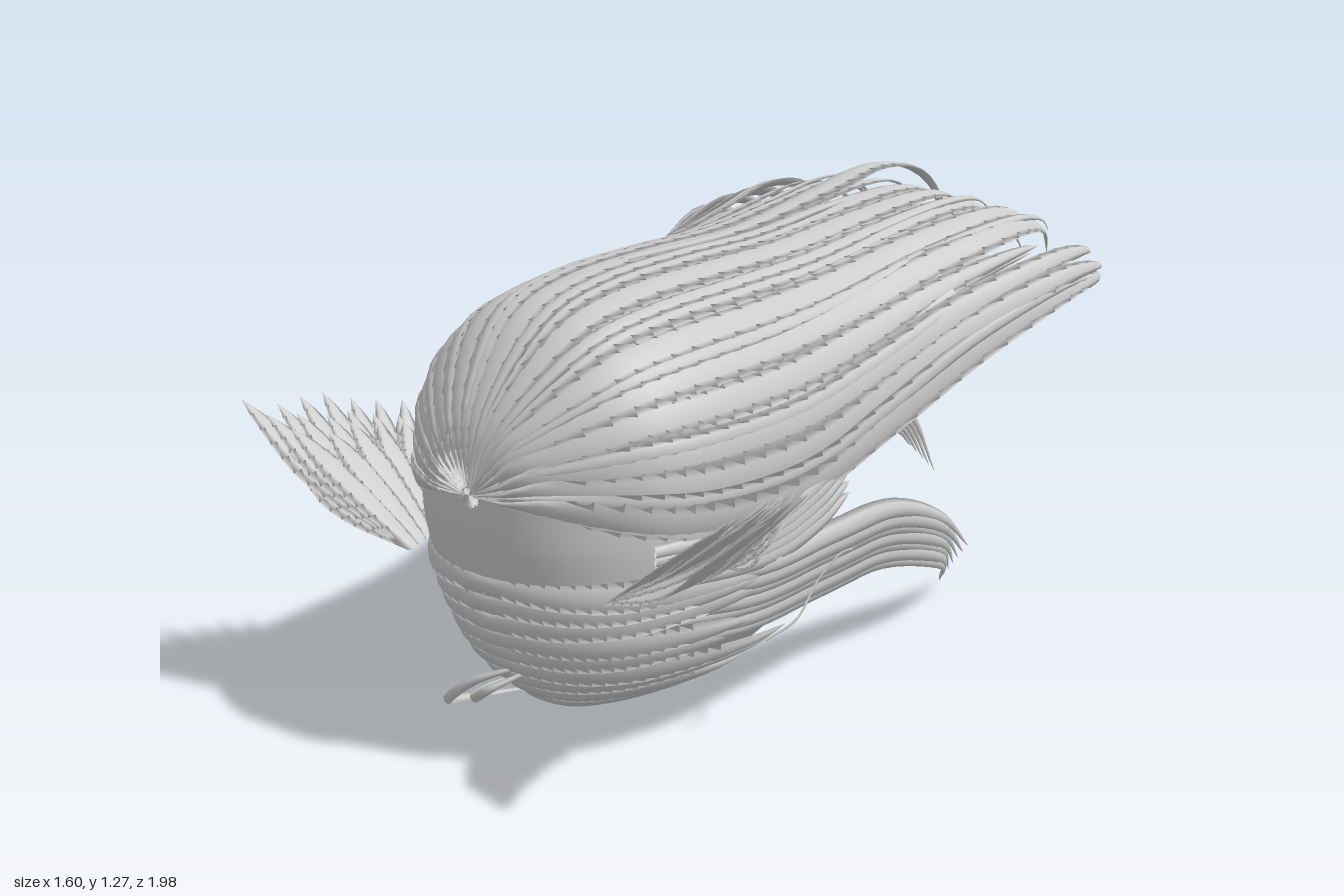
import * as THREE from 'three';

const V = (x, y, z) => new THREE.Vector3(x, y, z);
const material = new THREE.MeshStandardMaterial({ color: 0xcccccc, side: THREE.DoubleSide });
const curveOf = (pts) => new THREE.CatmullRomCurve3(pts, false, 'centripetal');

// Small seeded generator for natural variation
let seed = 7;
const rnd = (a, b) => {
  seed = (seed * 16807) % 2147483647;
  return a + (b - a) * (seed / 2147483647);
};

function gridMesh(name, rows, closed) {
  const n = rows[0].length, pos = [], idx = [];
  rows.forEach((r) => r.forEach((p) => pos.push(p.x, p.y, p.z)));
  for (let i = 0; i < rows.length - 1; i++) {
    for (let j = 0; j < (closed ? n : n - 1); j++) {
      const a = i * n + j, b = i * n + ((j + 1) % n);
      idx.push(a, b, a + n, b, b + n, a + n);
    }
  }
  const g = new THREE.BufferGeometry();
  g.setAttribute('position', new THREE.Float32BufferAttribute(pos, 3));
  g.setIndex(idx);
  g.computeVertexNormals();
  const mesh = new THREE.Mesh(g, material);
  mesh.name = name;
  return mesh;
}

// Thin lens-shaped lock swept along a path and bent around the head; out(p) gives the outward direction
const LENS = [[1, 0], [0.5, 0.8], [0, 1], [-0.5, 0.8], [-1, 0], [0, -0.4]];
function lock(name, at, out, width, thick, steps = 22) {
  const rows = [];
  for (let i = 0; i <= steps; i++) {
    const u = i / steps, p = at(u);
    const t = at(Math.min(1, u + 0.01)).sub(at(Math.max(0, u - 0.01))).normalize();
    const n = out(p);
    n.addScaledVector(t, -n.dot(t)).normalize();
    const b = V().crossVectors(t, n), w = width(u), h = Math.min(thick, w * 0.5);
    rows.push(LENS.map(([x, y]) => p.clone().addScaledVector(b, x * w).addScaledVector(n, y * h - x * x * w * w)));
  }
  return gridMesh(name, rows, true);
}
const leaf = (w, start = 0.35, peak = 0.5) => (u) =>
  w * (u < peak ? start + (1 - start) * Math.sin((u / peak) * Math.PI / 2)
    : Math.pow(Math.max(0, 1 - (u - peak) / (1 - peak)), 0.7)) + 0.0008;

// Swept-back crown: z, half width, centre height, rise, spread of the angle
const CROWN = [
  [0.99, 0.02, 0.7, 0.02, 1], [0.95, 0.17, 0.7, 0.19, 1], [0.8, 0.36, 0.68, 0.39, 1], [0.6, 0.435, 0.66, 0.475, 1],
  [0.3, 0.465, 0.66, 0.495, 0.99], [0, 0.49, 0.735, 0.425, 0.97], [-0.3, 0.555, 0.85, 0.34, 0.94],
  [-0.6, 0.655, 0.965, 0.255, 0.92], [-0.8, 0.655, 0.985, 0.215, 0.92], [-0.97, 0.575, 0.97, 0.12, 0.92]];
const crownCurve = (phi, lift) => new THREE.CatmullRomCurve3(CROWN.map(([z, a, cy, b, k]) =>
  V((a + lift) * Math.sin(phi * k), cy + (b + lift) * Math.cos(phi * k), z)), false, 'catmullrom');

function crown() {
  const g = new THREE.Group();
  g.name = 'crownHair';
  const rows = [], M = 1.72;
  for (let i = 0; i <= 44; i++) {
    const c = crownCurve(-M + (2 * M * i) / 44, -0.003);
    rows.push(Array.from({ length: 31 }, (_, j) => c.getPoint((j / 30) * 0.67)));
  }
  g.add(gridMesh('crownShell', rows, false));
  const out = (p) => V(p.x, (p.y - 0.75) * 1.2 + 0.02, 0);
  // Broad flat outer locks, then a layer below and fine locks on top
  for (const [count, lift, wide, lo, hi] of [[19, 0, 0.58, 0.92, 0.995], [20, -0.05, 0.5, 0.84, 0.95], [10, 0.005, 0.14, 0.88, 0.98]]) {
    const step = (2 * M) / count;
    for (let i = 0; i < count; i++) {
      const phi = -M + (i + 0.5) * step + rnd(-0.1, 0.1) * step;
      const c = crownCurve(phi, lift + rnd(-0.003, 0.003));
      // Shorter locks leave a notch between the top and the side clusters
      const notch = Math.abs(Math.abs(phi) - 1.02) < 0.11 ? 0.14 : 0;
      const end = rnd(lo, hi) - notch, drift = rnd(-0.03, 0.03), drop = rnd(0, 0.06);
      const at = (u) => {
        const p = c.getPoint(u * end), k = Math.max(0, u - 0.7) / 0.3;
        return p.add(V(drift * k, -drop * k * k, 0));
      };
      const width = (u) => {
        const s = Math.min(1, u * 4.5);
        const tip = u < 0.66 ? 1 : Math.pow(Math.max(0, (1 - u) / 0.34), 0.75);
        return step * wide * (0.01 + 0.45 * s) * tip + 0.0008;
      };
      g.add(lock('crownLock', at, out, width, 0.006, 34));
    }
  }
  // One raised lock along the middle
  const mid = curveOf([V(0.01, 1.15, 0.45), V(0.02, 1.165, 0), V(0.02, 1.225, -0.4), V(0.03, 1.265, -0.65), V(0.05, 1.22, -0.88), V(0.09, 1.08, -0.99)]);
  g.add(lock('crownLock', (u) => mid.getPoint(u), () => V(0, 1, 0), leaf(0.05), 0.01));
  return g;
}

// Lower wrap: height, half width, front depth
const WRAP = [[0.7, 0.435, 0.985], [0.58, 0.44, 0.975], [0.47, 0.43, 0.95], [0.36, 0.405, 0.915], [0.28, 0.365, 0.885],
  [0.2, 0.285, 0.835], [0.125, 0.175, 0.75], [0.07, 0.06, 0.62]];
function wrapAt(v, a, lift = 0) {
  const k = Math.min(v * 7, 6.999), i = Math.floor(k), f = k - i;
  const [y, w, zf] = WRAP[i].map((q, j) => q + (WRAP[i + 1][j] - q) * f);
  const s = Math.sin(a);
  return V((w + lift) * Math.sign(s) * Math.pow(Math.abs(s), 0.85), y - lift * v, 0.36 + (zf + lift - 0.36) * Math.cos(a));
}

function lowerWrap() {
  const g = new THREE.Group();
  g.name = 'lowerHair';
  const rows = [];
  for (let i = 0; i <= 24; i++) {
    rows.push(Array.from({ length: 37 }, (_, j) => wrapAt(i / 24, (j / 18 - 1) * 1.6)));
  }
  g.add(gridMesh('lowerShell', rows, false));
  const out = (p) => V(p.x, (p.y - 0.45) * 0.9, p.z - 0.4);
  for (const s of [1, -1]) {
    // Bands wrapping from the front centre to the sides
    for (let i = 0; i < 9; i++) {
      const v = 0.27 + i * 0.07, end = rnd(1.5, 1.85), rise = rnd(-0.09, 0.02);
      const at = (u) => {
        const p = wrapAt(Math.min(1, v + rise * u), -0.06 + u * end, 0.002 + 0.018 * u * u);
        return V(p.x * s, p.y, p.z);
      };
      g.add(lock('wrapLock', at, out, leaf(0.042, 0.5), 0.008));
    }
    // Locks sweeping back below the chin
    for (let i = 0; i < 8; i++) {
      const x = s * (0.015 + i * 0.034), e = rnd(0.28, 0.36);
      const c = curveOf([V(x * 0.5, 0.19 + i * 0.006, 0.82), V(x * 0.8, 0.12 + i * 0.015, 0.74 - i * 0.012),
        V(x * 1.05, 0.07 + i * 0.021, 0.57), V(x * 1.15, 0.085 + i * 0.025, e + 0.1), V(x * 1.05, 0.12 + i * 0.024, e)]);
      g.add(lock('chinLock', (u) => c.getPoint(u), (p) => V(p.x * 1.4, p.y - 0.38, p.z - 0.5), leaf(0.033), 0.009));
    }
  }
  return g;
}

function tails() {
  const g = new THREE.Group();
  g.name = 'trailingLocks';
  const out = (p) => V(p.x * 2, 0.25, 0);
  for (const s of [1, -1]) {
    // Long locks falling behind, longer on the left
    for (let i = 0; i < 7; i++) {
      const k = i / 6, y = 0.33 + 0.15 * k, x = 0.405 + 0.04 * k;
      const tip = s > 0 ? V(0.2 + 0.15 * k, 0.01 + 0.17 * k, -0.79 + 0.1 * k) : V(0.28 + 0.1 * k, 0.19 + 0.1 * k, -0.55 + 0.1 * k);
      const c = curveOf([V(0.29, y, 0.76), V(x - 0.01, y, 0.5), V(x + 0.01, y + 0.01, 0.2),
        V(x, y - 0.01, -0.1), V(x - 0.03, tip.y * 0.42 + y * 0.58, tip.z * 0.6), tip]
        .map((p) => V(p.x * s, p.y, p.z)));
      g.add(lock('tailLock', (u) => c.getPoint(u), out, leaf(0.03 + 0.008 * (i % 2)), 0.012, 28));
    }
    // Arching locks above them
    for (let i = 0; i < 5; i++) {
      const k = i / 4;
      const c = curveOf([V(0.38, 0.5, 0.65), V(0.45, 0.56 - 0.02 * k, 0.35), V(0.44 - 0.05 * k, 0.71 - 0.08 * k, 0.03),
        V(0.43 - 0.04 * k, 0.71 - 0.05 * k, -0.18), V(0.4 - 0.04 * k, 0.49 + 0.08 * k, -0.39 + 0.06 * k)]
        .map((p) => V(p.x * s, p.y, p.z)));
      g.add(lock('archLock', (u) => c.getPoint(u), out, leaf(0.024), 0.01));
    }
    // Side locks joining the crown to the wrap
    for (let i = 0; i < 5; i++) {
      const c = curveOf([V(0.36, 0.5 + i * 0.02, 0.78), V(0.44, 0.51 + i * 0.02, 0.5), V(0.46, 0.54 + i * 0.025, 0.28), V(0.45, 0.57 + i * 0.03, 0.12)]
        .map((p) => V(p.x * s, p.y, p.z)));
      g.add(lock('sideLock', (u) => c.getPoint(u), out, leaf(0.035), 0.01));
    }
  }
  return g;
}

// Cupped, feathered fans standing out from both cheeks
function fan(s) {
  const g = new THREE.Group();
  g.name = s > 0 ? 'leftFan' : 'rightFan';
  const rim = curveOf([V(0.8, 0.79, 0.96), V(0.745, 0.78, 0.81), V(0.7, 0.755, 0.67), V(0.61, 0.725, 0.55), V(0.53, 0.68, 0.46), V(0.51, 0.61, 0.46)]);
  const base = curveOf([V(0.31, 0.48, 0.87), V(0.36, 0.49, 0.72), V(0.4, 0.5, 0.6)]);
  for (const [count, reach, lift] of [[12, 1, 0], [11, 0.85, 0.03], [9, 0.7, 0.06], [9, 0.75, -0.02]]) {
    for (let i = 0; i < count; i++) {
      const k = i / (count - 1), b = base.getPoint(k);
      const t = b.clone().lerp(rim.getPoint(k), reach * (i ? rnd(0.92, 1.02) : 1)).add(V(0, lift * 0.6, 0));
      const m = b.clone().lerp(t, 0.5).add(V(0.02, lift * 0.6 - 0.02, 0));
      const c = curveOf([b, m, t].map((p) => V(p.x * s, p.y, p.z)));
      const out = () => V((-0.4 - 0.3 * k) * s, 0.85, 0.2 * k);
      g.add(lock('feather', (u) => c.getPoint(u), out, leaf(0.05 - 0.022 * k, 0.4, 0.6), 0.006, 12));
    }
  }
  return g;
}

// Thin stray strands curling away from the chin and side
function strays() {
  const g = new THREE.Group();
  g.name = 'strayStrands';
  const paths = [
    [V(0, 0.24, 0.86), V(-0.08, 0.21, 0.92), V(-0.17, 0.14, 0.92), V(-0.22, 0.09, 0.8), V(-0.12, 0.08, 0.6)],
    [V(0.02, 0.23, 0.86), V(-0.03, 0.2, 0.93), V(-0.12, 0.14, 0.88), V(-0.2, 0.1, 0.72), V(-0.15, 0.11, 0.55)]];
  for (const p of paths) {
    const c = curveOf(p);
    g.add(lock('chinCurl', (u) => c.getPoint(u), (q) => V(q.x, q.y - 0.3, q.z - 0.6), leaf(0.014), 0.007));
  }
  const side = curveOf([V(0.43, 0.28, 0.45), V(0.47, 0.32, 0.38), V(0.48, 0.4, 0.3), V(0.51, 0.46, 0.24), V(0.525, 0.465, 0.22)]);
  const strand = new THREE.Mesh(new THREE.TubeGeometry(side, 24, 0.003, 5), material);
  strand.name = 'sideStrand';
  g.add(strand);
  return g;
}

export function createModel() {
  seed = 7;
  const model = new THREE.Group();
  model.name = 'sweptHair';
  model.add(crown(), lowerWrap(), tails(), fan(1), fan(-1), strays());
  return model;
}
